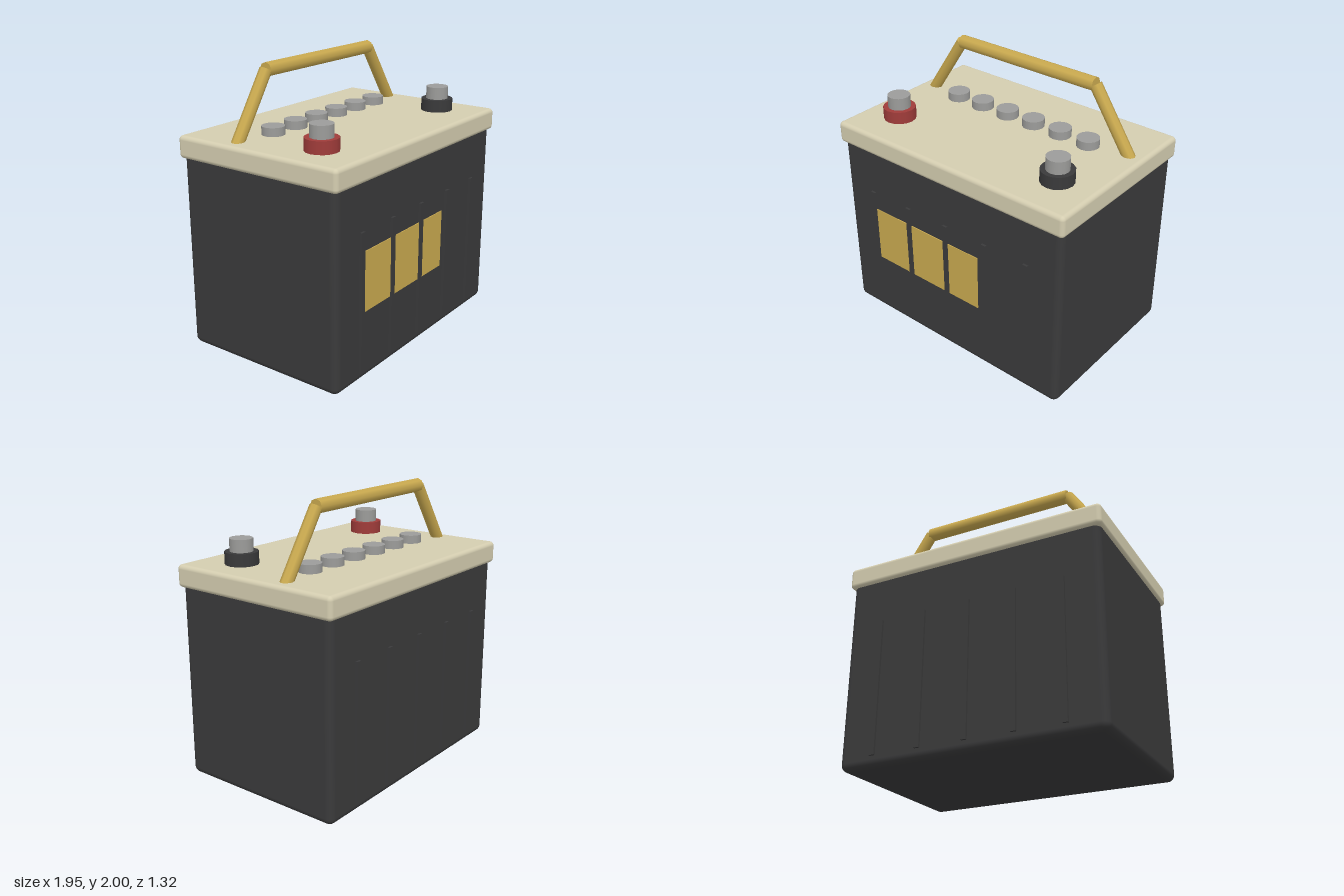
import * as THREE from 'three';
import { RoundedBoxGeometry } from 'three/addons/geometries/RoundedBoxGeometry.js';

const mat = (name, color) => {
  const m = new THREE.MeshStandardMaterial({ color });
  m.name = name;
  return m;
};

export function createModel() {
  const model = new THREE.Group();
  model.name = 'battery';

  const charcoal = mat('charcoal plastic', 0x3a3a3b);
  const cream = mat('cream plastic', 0xd4cdb0);
  const gold = mat('gold', 0xc9a94f);
  const red = mat('red plastic', 0xa03c3a);
  const metal = mat('grey metal', 0x9c9c9a);

  const add = (name, geometry, material, x, y, z) => {
    const mesh = new THREE.Mesh(geometry, material);
    mesh.name = name;
    mesh.position.set(x, y, z);
    model.add(mesh);
    return mesh;
  };

  // Upright cylinder standing on height y0
  const disc = (name, r, y0, y1, material, x, z) =>
    add(name, new THREE.CylinderGeometry(r, r, y1 - y0, 16), material, x, (y0 + y1) / 2, z);

  // Straight round bar between two points
  const bar = (name, a, b, r) => {
    const dir = b.clone().sub(a);
    const mid = a.clone().add(b).multiplyScalar(0.5);
    const mesh = add(name, new THREE.CylinderGeometry(r, r, dir.length(), 8), gold, mid.x, mid.y, mid.z);
    mesh.quaternion.setFromUnitVectors(new THREE.Vector3(0, 1, 0), dir.normalize());
  };

  // Case and lid
  add('case', new RoundedBoxGeometry(1.91, 1.42, 1.27, 4, 0.05), charcoal, 0, 0.71, 0);
  add('lid', new RoundedBoxGeometry(1.95, 0.157, 1.315, 4, 0.03), cream, 0, 1.4465, 0);

  // Upright ribs on the front and back
  for (const side of [1, -1]) {
    for (let i = -2; i <= 2; i++) {
      add('rib', new THREE.BoxGeometry(0.038, 0.975, 0.03), charcoal, i * 0.344, 0.5625, side * 0.636);
    }
  }

  // Label plate, crossed by the ribs
  add('label', new THREE.BoxGeometry(0.95, 0.42, 0.008), gold, -0.195, 0.70, 0.637);

  // Terminals: coloured collar with a metal post
  for (const [side, colour] of [[-1, red], [1, charcoal]]) {
    disc('terminalCollar', 0.115, 1.51, 1.612, colour, side * 0.69, 0.33);
    disc('terminalPost', 0.08, 1.6, 1.7, metal, side * 0.69, 0.33);
  }

  // Row of filler caps
  for (let i = 0; i < 6; i++) {
    disc('fillerCap', 0.08, 1.51, 1.585, metal, (i - 2.5) * 0.23, -0.167);
  }

  // Carrying handle: grip and two sloping arms
  const z = -0.22;
  bar('handleGrip', new THREE.Vector3(-0.575, 1.951, z), new THREE.Vector3(0.575, 1.951, z), 0.049);
  for (const s of [-1, 1]) {
    bar('handleArm', new THREE.Vector3(s * 0.875, 1.5, z), new THREE.Vector3(s * 0.575, 1.95, z), 0.043);
  }

  return model;
}
